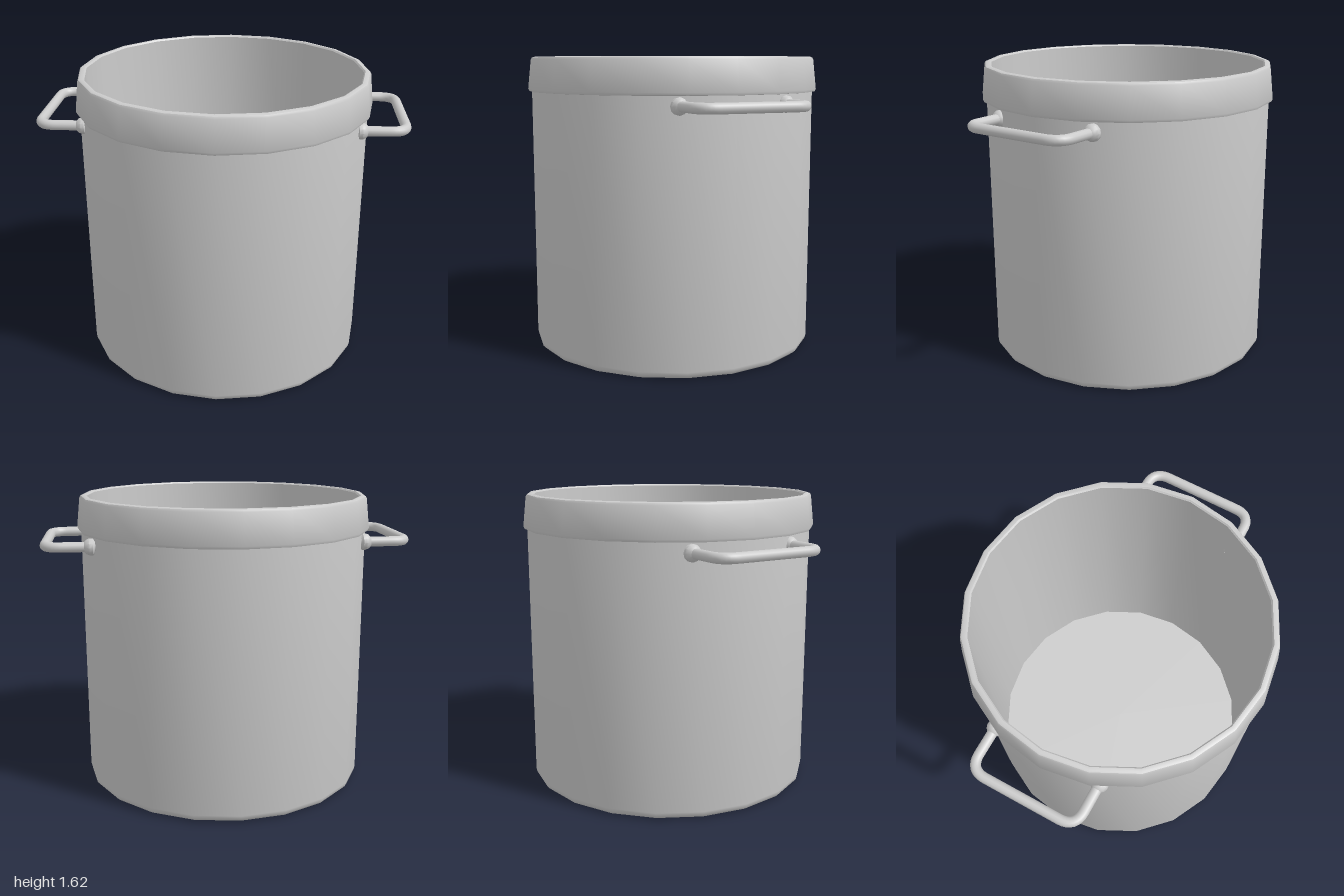
import * as THREE from 'three';
import { toCreasedNormals } from 'three/addons/utils/BufferGeometryUtils.js';

const SIDES = 20;
const HANDLE_Y = 1.38;
const HANDLE_Z = [0.282, -0.312];

const material = new THREE.MeshStandardMaterial({ color: 0xcccccc, side: THREE.DoubleSide });

function part(name, geometry) {
  const mesh = new THREE.Mesh(geometry, material);
  mesh.name = name;
  return mesh;
}

// Revolved profile: smooth around, sharp at strong profile corners
function revolve(profile, sides = SIDES) {
  const points = profile.map(([r, y]) => new THREE.Vector2(r, y));
  return toCreasedNormals(new THREE.LatheGeometry(points, sides), 0.65);
}

// Squared loop with rounded corners; side is +1 or -1 along x
function handlePath(side) {
  const v = (x, z) => new THREE.Vector3(side * x, HANDLE_Y, z);
  const [z0, z1] = HANDLE_Z;
  const inner = 0.705, outer = 0.972, r = 0.09;
  const path = new THREE.CurvePath();
  path.add(new THREE.LineCurve3(v(inner, z0), v(outer - r, z0)));
  path.add(new THREE.QuadraticBezierCurve3(v(outer - r, z0), v(outer, z0), v(outer, z0 - r)));
  path.add(new THREE.LineCurve3(v(outer, z0 - r), v(outer, z1 + r)));
  path.add(new THREE.QuadraticBezierCurve3(v(outer, z1 + r), v(outer, z1), v(outer - r, z1)));
  path.add(new THREE.LineCurve3(v(outer - r, z1), v(inner, z1)));
  return path;
}

export function createModel() {
  const model = new THREE.Group();
  model.name = 'pot';

  // Hollow body: base, bevelled foot, outer wall, lip, inner wall, floor
  model.add(part('body', revolve([
    [0, 0], [0.75, 0], [0.772, 0.006], [0.786, 0.02], [0.79, 0.04],
    [0.79, 1.44], [0.775, 1.612], [0.755, 1.612], [0.755, 0.04], [0, 0.04],
  ])));

  // Flared collar around the mouth
  model.add(part('collar', revolve([
    [0.785, 1.43], [0.805, 1.432], [0.811, 1.446], [0.793, 1.605],
    [0.787, 1.616], [0.778, 1.62], [0.762, 1.62], [0.755, 1.612],
  ])));

  // Side handles with a rounded boss at each foot
  const bossProfile = [[0, 0], [0.034, 0], [0.044, 0.01], [0.045, 0.028], [0.038, 0.045], [0.027, 0.055]];
  for (const side of [1, -1]) {
    const handle = new THREE.Group();
    handle.name = side > 0 ? 'leftHandle' : 'rightHandle';
    handle.add(part('handleBar', new THREE.TubeGeometry(handlePath(side), 64, 0.027, 12)));
    for (const z of HANDLE_Z) {
      const boss = part('handleBoss', revolve(bossProfile, 12));
      boss.rotation.z = -side * Math.PI / 2;
      boss.position.set(side * 0.708, HANDLE_Y, z);
      handle.add(boss);
    }
    model.add(handle);
  }
  return model;
}
